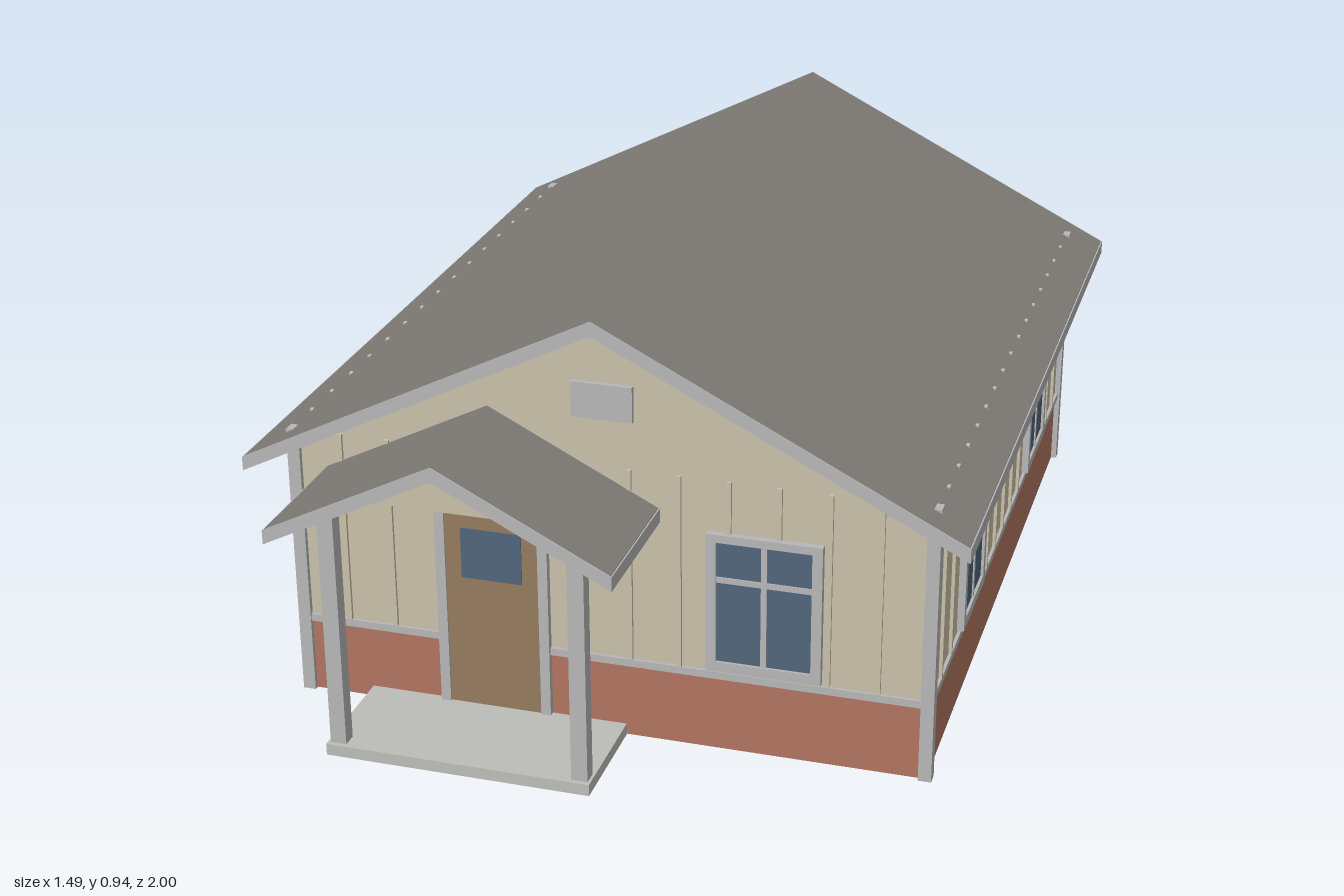
import * as THREE from 'three';

const mat = (color, side = THREE.FrontSide) => new THREE.MeshStandardMaterial({ color, side, flatShading: true });
const SLOPE = 0.503, CZ = -0.115, HW = 0.665, HD = 0.805;

export function createModel() {
  const siding = mat(0xc8c0a8, THREE.DoubleSide);
  const brick = mat(0xb07560, THREE.DoubleSide);
  const trim = mat(0xb6b6b8), concrete = mat(0xbcbcb8);
  const roofing = mat(0x7f7b75), doorWood = mat(0x947a5e), glass = mat(0x51657a);

  const house = new THREE.Group();
  house.name = 'house';

  const add = (parent, name, geometry, material) => {
    const mesh = new THREE.Mesh(geometry, material);
    mesh.name = name;
    parent.add(mesh);
    return mesh;
  };
  // Box given by its extents
  const box = (parent, name, material, x0, x1, y0, y1, z0, z1) => {
    const m = add(parent, name, new THREE.BoxGeometry(x1 - x0, y1 - y0, z1 - z0), material);
    m.position.set((x0 + x1) / 2, (y0 + y1) / 2, (z0 + z1) / 2);
    return m;
  };
  const polygon = (pts) => new THREE.Shape(pts.map(([x, y]) => new THREE.Vector2(x, y)));

  // Framed window with four panes, local to a wall
  function addWindow(wall, x) {
    const g = new THREE.Group();
    g.name = 'window';
    g.position.x = x;
    wall.add(g);
    box(g, 'windowGlass', glass, -0.1, 0.1, 0.2, 0.48, -0.006, 0.009);
    for (const s of [-1, 1]) box(g, 'windowJamb', trim, s * 0.108 - 0.0105, s * 0.108 + 0.0105, 0.185, 0.49, -0.008, 0.015);
    box(g, 'windowHead', trim, -0.1185, 0.1185, 0.473, 0.49, -0.008, 0.015);
    box(g, 'windowSill', trim, -0.1185, 0.1185, 0.185, 0.207, -0.008, 0.015);
    box(g, 'windowMullion', trim, -0.006, 0.006, 0.2, 0.48, 0, 0.012);
    box(g, 'windowCrossbar', trim, -0.1, 0.1, 0.384, 0.396, 0, 0.012);
  }

  // Wall in local space: x along the wall, z outwards
  function addWall(name, halfWidth, distance, angle, gable, windows) {
    const wall = new THREE.Group();
    wall.name = name;
    wall.rotation.y = angle;
    wall.position.set(Math.sin(angle) * distance, 0, CZ + Math.cos(angle) * distance);
    house.add(wall);
    const w = halfWidth, top = 0.905 - HW * SLOPE;
    const outline = [[-w, 0.165], [w, 0.165], [w, top]];
    if (gable) outline.push([0, 0.905]);
    outline.push([-w, top]);
    add(wall, 'siding', new THREE.ShapeGeometry(polygon(outline)), siding);
    add(wall, 'brickBase', new THREE.ShapeGeometry(polygon([[-w, 0], [w, 0], [w, 0.165], [-w, 0.165]])), brick);
    box(wall, 'waterTable', trim, -w, w, 0.163, 0.179, -0.004, 0.007);
    // Vertical battens about 0.1 apart
    const n = Math.round(2 * w / 0.1);
    for (let i = 1; i < n; i++) {
      const x = -w + 2 * w * i / n;
      box(wall, 'batten', siding, x - 0.005, x + 0.005, 0.179, 0.602, 0, 0.007);
    }
    windows.forEach((x) => addWindow(wall, x));
    return wall;
  }

  const front = addWall('frontWall', HW, HD, 0, true, [0.33]);
  addWall('backWall', HW, HD, Math.PI, true, [-0.33, 0.33]);
  addWall('leftWall', HD, HW, Math.PI / 2, false, [-0.4, 0.4]);
  addWall('rightWall', HD, HW, -Math.PI / 2, false, [-0.4, 0.4]);

  // Corner boards
  for (const sx of [-1, 1]) for (const sz of [-1, 1]) {
    const b = add(house, 'cornerBoard', new THREE.BoxGeometry(0.027, 0.602, 0.027), trim);
    b.position.set(sx * 0.664, 0.301, CZ + sz * 0.802);
  }

  // Door, its casing and the gable vent
  box(front, 'door', doorWood, -0.34, -0.14, 0.02, 0.467, -0.005, 0.01);
  box(front, 'doorGlass', glass, -0.306, -0.176, 0.318, 0.43, 0, 0.012);
  for (const x of [-0.361, -0.141]) box(front, 'doorJamb', trim, x, x + 0.021, 0, 0.49, -0.008, 0.015);
  box(front, 'doorHead', trim, -0.361, -0.12, 0.466, 0.49, -0.008, 0.015);
  box(front, 'gableVent', trim, -0.063, 0.062, 0.705, 0.78, -0.006, 0.01);

  // Gable roof with bargeboards at both ends and fascias along the eaves
  function addRoof(name, cx, half, peak, z0, z1) {
    const g = new THREE.Group();
    g.name = name;
    g.position.x = cx;
    house.add(g);
    const t = 0.03, e = 0.003, eave = peak - half * SLOPE;
    const chevron = (h, a, b) => {
      const y = peak - h * SLOPE;
      const shape = polygon([[-h, y - t], [0, peak - t], [h, y - t], [h, y], [0, peak], [-h, y]]);
      return new THREE.ExtrudeGeometry(shape, { depth: b - a, bevelEnabled: false }).translate(0, 0, a);
    };
    add(g, 'roofSlopes', chevron(half - e, z0 + e, z1 - e), roofing);
    add(g, 'backBargeboard', chevron(half, z0, z0 + e), trim);
    add(g, 'frontBargeboard', chevron(half, z1 - e, z1), trim);
    for (const s of [-1, 1]) {
      const x = s * (half - e / 2);
      box(g, 'eaveFascia', trim, x - e / 2, x + e / 2, eave - t, eave, z0 + e, z1 - e);
    }
  }
  addRoof('mainRoof', 0, 0.747, 0.935, -1, 0.765);
  addRoof('porchRoof', -0.24, 0.355, 0.705, 0.692, 1);

  // Porch slab, posts and gable infill
  box(house, 'porchSlab', concrete, -0.52, 0.04, 0, 0.025, 0.692, 0.937);
  for (const x of [-0.514, 0]) box(house, 'porchPost', trim, x, x + 0.034, 0.025, 0.55, 0.895, 0.927);
  add(house, 'porchGable', new THREE.ShapeGeometry(
    polygon([[-0.45, 0.569], [-0.03, 0.569], [-0.24, 0.675]])), siding).position.z = 0.911;

  return house;
}
